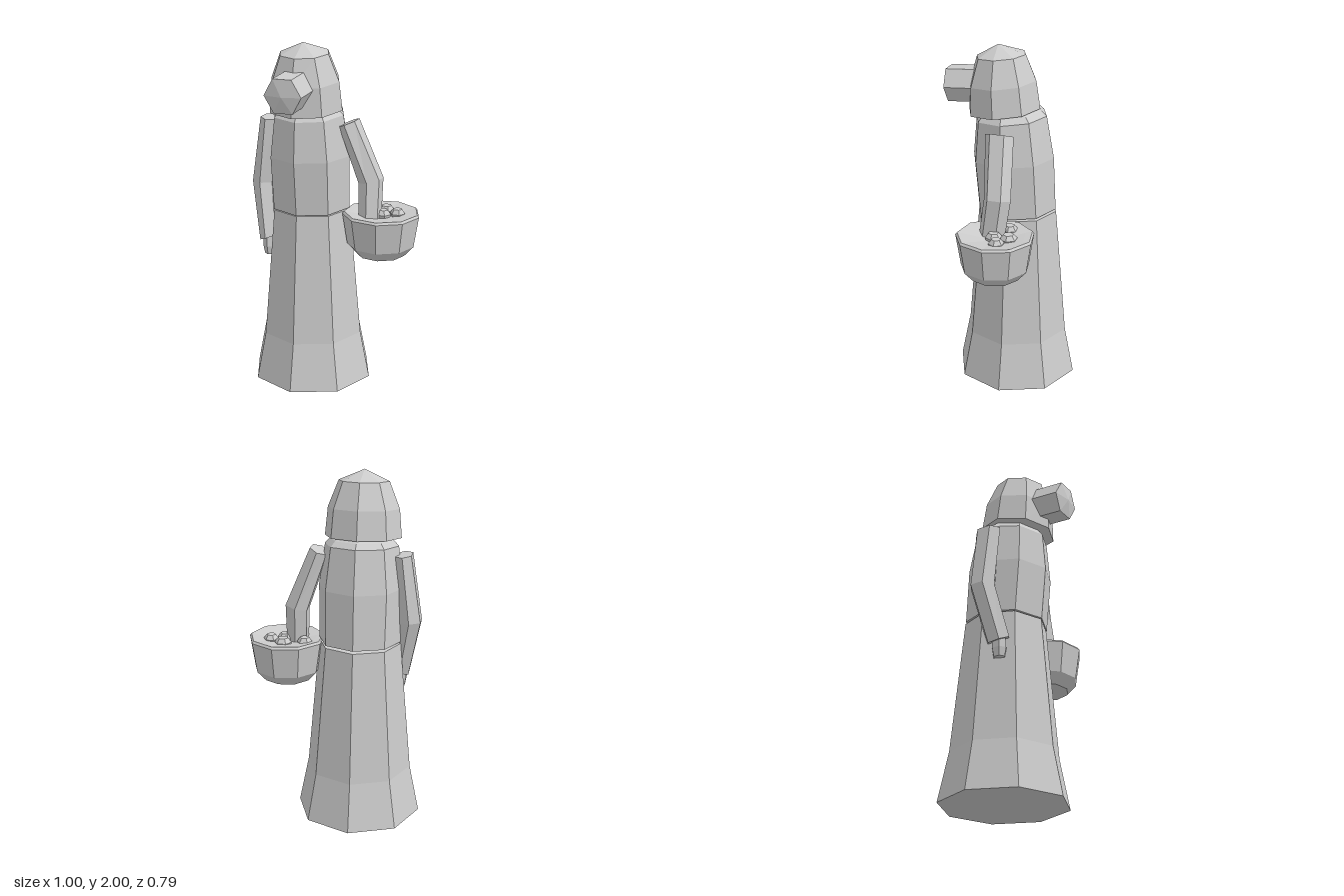
import * as THREE from 'three';

const stone = new THREE.MeshStandardMaterial({ color: 0xcccccc, flatShading: true });
stone.name = 'plain grey';

// Lofts stacked rings, bottom to top: [x, y, z, rx, rz, slopeX, slopeZ], closed at both ends.
function loft(name, sides, rings, phase = 0) {
  const pos = [], idx = [];
  for (const [cx, cy, cz, rx, rz = rx, sx = 0, sz = 0] of rings) {
    for (let i = 0; i < sides; i++) {
      const a = phase + (i / sides) * Math.PI * 2;
      const x = rx * Math.sin(a), z = rz * Math.cos(a);
      pos.push(cx + x, cy + x * sx + z * sz, cz + z);
    }
  }
  for (let k = 0; k < rings.length - 1; k++) {
    for (let i = 0; i < sides; i++) {
      const a = k * sides + i, b = k * sides + ((i + 1) % sides);
      idx.push(a, b, b + sides, a, b + sides, a + sides);
    }
  }
  const top = (rings.length - 1) * sides;
  for (let i = 1; i < sides - 1; i++) {
    idx.push(0, i + 1, i, top, top + i, top + i + 1);
  }
  const geo = new THREE.BufferGeometry();
  geo.setAttribute('position', new THREE.Float32BufferAttribute(pos, 3));
  geo.setIndex(idx);
  geo.computeVertexNormals();
  const mesh = new THREE.Mesh(geo, stone);
  mesh.name = name;
  return mesh;
}

export function createModel() {
  const group = new THREE.Group();
  group.name = 'robedFigure';
  const X = -0.143;

  // Robe: flared skirt and slightly forward-leaning torso
  group.add(loft('skirt', 8, [
    [X, 0, -0.032, 0.36],
    [X, 0.28, -0.032, 0.303],
    [X, 1.04, -0.03, 0.234, 0.234, 0, -0.01],
  ]));
  group.add(loft('torso', 8, [
    [X, 1.05, -0.027, 0.234, 0.234, 0, -0.03],
    [X, 1.36, -0.005, 0.24, 0.24, 0, -0.03],
    [X, 1.595, 0.008, 0.208, 0.208, 0, -0.08],
    [X, 1.625, 0.012, 0.18, 0.18, 0, -0.08],
    [X, 1.66, 0.03, 0.14, 0.14, 0, -0.08],
  ]));

  // Domed head, tipped forward
  group.add(loft('head', 8, [
    [X, 1.63, 0.049, 0.217, 0.21, 0, -0.1],
    [X, 1.79, 0.06, 0.202, 0.196, 0, -0.1],
    [X, 1.94, 0.068, 0.142, 0.143, 0, -0.09],
    [X, 2.0, 0.085, 0.0005],
  ]));

  // Hexagonal snout, pointing forward and slightly down
  const snout = loft('snout', 6, [
    [0, -0.06, 0, 0.108],
    [0, 0.135, 0, 0.108],
    [0, 0.155, 0, 0.0005],
  ], Math.PI / 2);
  snout.position.set(X, 1.762, 0.24);
  snout.rotation.x = Math.PI / 2 + 0.06;
  group.add(snout);

  // Left arm, bent down into the basket
  group.add(loft('leftArm', 6, [
    [0.225, 0.99, 0.005, 0.064, 0.075],
    [0.218, 1.225, -0.028, 0.07, 0.077, 0.25],
    [0.095, 1.555, 0.0, 0.053, 0.082, 0.4],
  ]));

  // Right arm, hanging at the side, with a small hand
  group.add(loft('rightArm', 6, [
    [-0.368, 0.85, 0.07, 0.055, 0.07, 0.4, 0.1],
    [-0.425, 1.17, 0.0, 0.07, 0.077],
    [-0.381, 1.55, 0.0, 0.053, 0.082, -0.1],
  ]));
  group.add(loft('rightHand', 6, [
    [-0.366, 0.75, 0.075, 0.03, 0.035],
    [-0.366, 0.8, 0.075, 0.04, 0.045],
    [-0.368, 0.87, 0.07, 0.036, 0.045],
  ]));

  // Nine-sided basket with a flat rim and shallow inside
  const bx = 0.28, bz = -0.035;
  group.add(loft('basket', 9, [
    [bx, 0.795, bz, 0.14],
    [bx, 0.855, bz, 0.194],
    [bx, 1.033, bz, 0.222],
    [bx, 1.046, bz, 0.212],
    [bx, 1.04, bz, 0.175],
    [bx, 1.01, bz, 0.0005],
  ], Math.PI / 2));

  // Round goods in the basket
  const goods = [[0.285, -0.115, 0.05], [0.365, -0.07, 0.045], [0.165, -0.085, 0.045], [0.29, -0.03, 0.048]];
  goods.forEach(([x, z, r]) => {
    group.add(loft('basketItem', 6, [
      [x, 1.0, z, r * 0.8],
      [x, 1.035, z, r],
      [x, 1.06, z, r * 0.6],
    ], Math.PI / 2));
  });

  return group;
}
